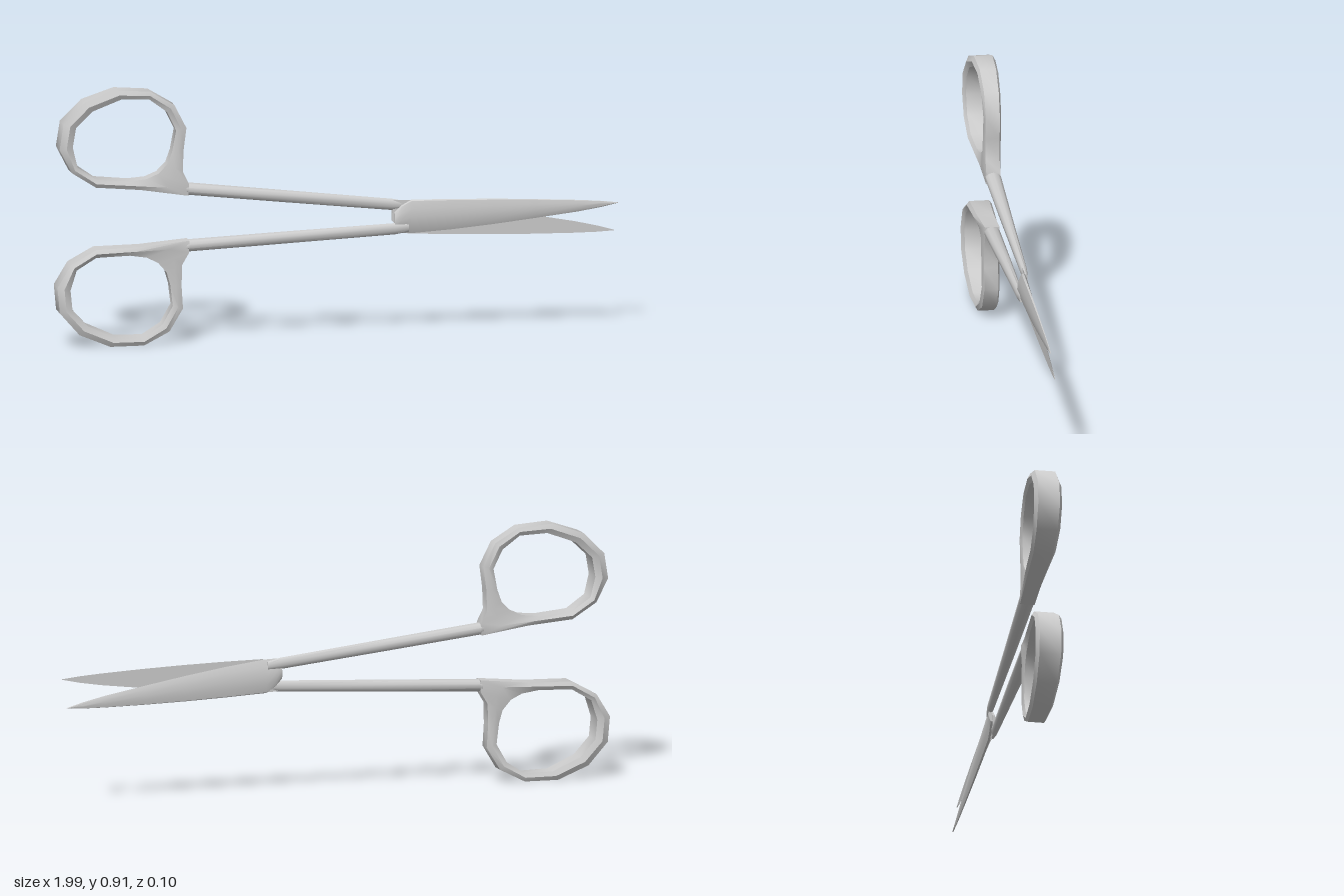
import * as THREE from 'three';
import { toCreasedNormals } from 'three/addons/utils/BufferGeometryUtils.js';

const steel = new THREE.MeshStandardMaterial({ color: 0xcccccc });

// Skin a row of cross-sections; each section runs from +y towards +z for travel along +x
function loft(name, sections, closed = false) {
  const n = sections[0].length, m = sections.length, index = [];
  for (let i = 0; i < (closed ? m : m - 1); i++) {
    for (let j = 0; j < n; j++) {
      const k = (j + 1) % n, a = i * n, b = ((i + 1) % m) * n;
      index.push(a + j, a + k, b + j, a + k, b + k, b + j);
    }
  }
  const geometry = new THREE.BufferGeometry();
  geometry.setAttribute('position', new THREE.Float32BufferAttribute(sections.flat(2), 3));
  geometry.setIndex(index);
  const mesh = new THREE.Mesh(toCreasedNormals(geometry, 0.75), steel);
  mesh.name = name;
  return mesh;
}

// A section shrunk to its middle, used to close an end
function cap(section) {
  const c = [0, 1, 2].map(k => section.reduce((s, p) => s + p[k], 0) / section.length);
  return section.map(() => c);
}

// Finger ring: outer x, y and inner x, y, with a web that swells into the shank
function fingerRing() {
  const loop = [
    [-0.998, 0.22, -0.952, 0.21], [-0.99, 0.13, -0.945, 0.14], [-0.92, 0.05, -0.89, 0.08],
    [-0.81, 0.004, -0.79, 0.035], [-0.69, 0.004, -0.69, 0.033], [-0.6, 0.05, -0.625, 0.075],
    [-0.552, 0.13, -0.588, 0.14], [-0.557, 0.21, -0.597, 0.215], [-0.555, 0.285, -0.61, 0.26],
    [-0.53, 0.328, -0.64, 0.295], [-0.53, 0.37, -0.68, 0.315], [-0.7, 0.354, -0.74, 0.325],
    [-0.86, 0.35, -0.86, 0.322], [-0.95, 0.3, -0.93, 0.28],
  ];
  const z = -0.002;
  return loft('fingerRing', loop.map(([ox, oy, ix, iy]) => {
    const mx = (ox + ix) / 2, my = (oy + iy) / 2;
    // the band is widest at the far end and narrows towards the shank
    const h = 0.03 + 0.02 * (-0.54 - mx) / 0.45, e = h * 0.78;
    return [
      [ox, oy, z + e], [ox, oy, z - e], [mx, my, z - h],
      [ix, iy, z - e], [ix, iy, z + e], [mx, my, z + h],
    ];
  }), true);
}

// Shank: tapering oval bar given as x, y, z, half height, half depth
function shank() {
  const stations = [
    [-0.58, 0.346, -0.002, 0.017, 0.026], [-0.53, 0.349, -0.002, 0.022, 0.028],
    [-0.2, 0.365, 0, 0.0215, 0.021], [0.2, 0.384, 0.004, 0.02, 0.012],
    [0.25, 0.387, 0.005, 0.015, 0.006],
  ];
  const s = stations.map(([x, y, z, hy, hz]) => Array.from({ length: 10 }, (_, j) => {
    const a = j / 10 * Math.PI * 2;
    return [x, y + hy * Math.cos(a), z + hz * Math.sin(a)];
  }));
  return loft('shank', [cap(s[0]), ...s, cap(s[s.length - 1])]);
}

// Blade: flat inside, rounded outside, given as x, cutting edge y, spine y
function blade() {
  const stations = [
    [0.2, 0.368, 0.44], [0.225, 0.366, 0.465], [0.26, 0.365, 0.484], [0.4, 0.374, 0.482],
    [0.55, 0.388, 0.478], [0.7, 0.405, 0.472], [0.85, 0.423, 0.464], [0.93, 0.436, 0.458],
    [0.99, 0.449, 0.451],
  ];
  const s = stations.map(([x, lo, hi]) => {
    const t = (x - 0.2) / 0.79, w = hi - lo;
    const zi = -0.003 + 0.006 * t, d = 0.015 - 0.012 * t;
    return [
      [x, hi, zi], [x, hi - 0.03 * w, zi + 0.5 * d], [x, hi - 0.25 * w, zi + 0.9 * d],
      [x, hi - 0.5 * w, zi + d], [x, lo + 0.2 * w, zi + 0.7 * d], [x, lo, zi],
    ];
  });
  return loft('blade', [cap(s[0]), ...s, cap(s[s.length - 1])]);
}

function half(name) {
  const group = new THREE.Group();
  group.name = name;
  group.add(fingerRing(), shank(), blade());
  return group;
}

export function createModel() {
  const model = new THREE.Group();
  model.name = 'scissors';
  const front = half('frontHalf');

  // The back half is the front one turned over about the slightly tilted centre line
  const back = half('backHalf');
  back.rotation.set(Math.PI, 0, 2 * 0.0327);
  const pivot = new THREE.Vector3(0.3, 0.4225, -0.004);
  back.position.copy(pivot).sub(pivot.clone().applyEuler(back.rotation));
  back.position.x -= 0.008;

  model.add(front, back);
  return model;
}
